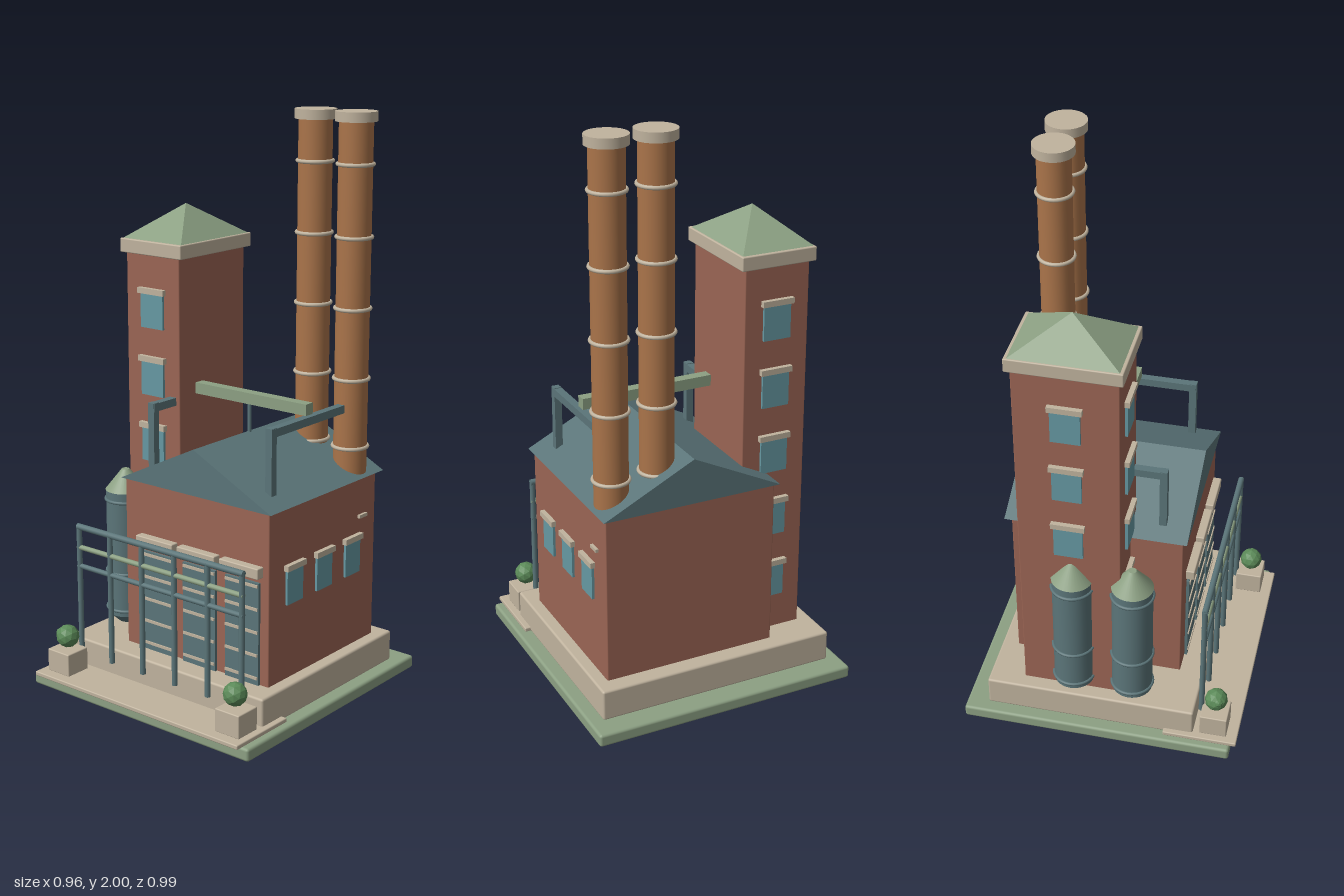
import * as THREE from 'three';
import { RoundedBoxGeometry } from 'three/addons/geometries/RoundedBoxGeometry.js';

export function createModel() {
  const root = new THREE.Group();
  const mat = (name, color) => {
    const m = new THREE.MeshStandardMaterial({ color });
    m.name = name;
    return m;
  };
  const brick = mat('brick', 0x9b6554);
  const stone = mat('stone', 0xc0b39e);
  const green = mat('sage green', 0x8ca083);
  const slate = mat('slate', 0x5b7579);
  const glass = mat('glass', 0x6699a3);
  const copper = mat('copper', 0xaa744a);
  const leaf = mat('leaf', 0x5b8a58);

  const add = (name, geo, material, x = 0, y = 0, z = 0, parent = root) => {
    const m = new THREE.Mesh(geo, material);
    m.name = name;
    m.position.set(x, y, z);
    parent.add(m);
    return m;
  };
  // Box given by its extents; r rounds the edges
  const box = (name, material, x0, x1, y0, y1, z0, z1, r = 0, parent = root) => {
    const s = [x1 - x0, y1 - y0, z1 - z0];
    const geo = r ? new RoundedBoxGeometry(...s, 2, r) : new THREE.BoxGeometry(...s);
    return add(name, geo, material, (x0 + x1) / 2, (y0 + y1) / 2, (z0 + z1) / 2, parent);
  };
  const group = (name, x = 0, y = 0, z = 0, ry = 0) => {
    const g = new THREE.Group();
    g.name = name;
    g.position.set(x, y, z);
    g.rotation.y = ry;
    root.add(g);
    return g;
  };
  const faceted = (geo) => {
    const g = geo.index ? geo.toNonIndexed() : geo;
    g.computeVertexNormals();
    return g;
  };
  const ring = (name, material, r, tube, y, parent) => {
    add(name, new THREE.TorusGeometry(r, tube, 8, 32), material, 0, y, 0, parent).rotation.x = Math.PI / 2;
  };

  // Ground, front apron and plinth
  box('groundSlab', green, -0.482, 0.482, 0, 0.046, -0.495, 0.47, 0.01);
  box('frontApron', stone, -0.456, 0.455, 0.044, 0.06, 0.228, 0.491, 0.004);
  box('plinth', stone, -0.436, 0.434, 0.044, 0.155, -0.416, 0.333, 0.008);

  // Main hall with gable roof
  box('hallWalls', brick, -0.235, 0.39, 0.15, 0.765, -0.357, 0.246, 0.004);
  const gable = new THREE.Shape([[-0.244, 0.76], [0.406, 0.76], [0.081, 0.92]].map((p) => new THREE.Vector2(...p)));
  add('hallRoof', new THREE.ExtrudeGeometry(gable, { depth: 0.641, bevelEnabled: false }), slate, 0, 0, -0.381);

  // Tower with cornice and pyramid roof
  box('towerWalls', brick, -0.384, -0.146, 0.15, 1.505, -0.29, 0.062, 0.004);
  box('towerCornice', stone, -0.401, -0.126, 1.502, 1.551, -0.306, 0.077, 0.004);
  const pyramid = new THREE.ConeGeometry(Math.SQRT1_2, 1, 4);
  pyramid.rotateY(Math.PI / 4);
  pyramid.scale(0.262, 0.112, 0.36);
  add('towerRoof', faceted(pyramid), green, -0.264, 1.607, -0.115);

  // Windows with lintels, facing the direction given by ry
  const windowAt = (x, y, z, ry, w = 0.1) => {
    const g = group('window', x, y, z, ry);
    box('windowPane', glass, -w / 2, w / 2, -0.06, 0.06, -0.01, 0.009, 0, g);
    box('windowLintel', stone, -w / 2 - 0.008, w / 2 + 0.008, 0.06, 0.08, -0.01, 0.017, 0, g);
  };
  [0.345, 0.587, 0.828, 1.068, 1.308].forEach((y) => {
    windowAt(-0.264, y, 0.062, 0);
    windowAt(-0.264, y, -0.29, Math.PI);
    if (y > 0.7) windowAt(-0.384, y, -0.115, -Math.PI / 2);
  });
  [0.114, -0.051, -0.217].forEach((z) => windowAt(0.39, 0.48, z, Math.PI / 2, 0.086));
  box('wallVent', stone, 0.385, 0.4, 0.613, 0.625, -0.298, -0.254);

  // Slatted loading doors
  [-0.084, 0.1, 0.284].forEach((x) => {
    const g = group('loadingDoor', x, 0, 0.246);
    box('doorPanel', slate, -0.071, 0.071, 0.155, 0.515, -0.005, 0.01, 0, g);
    for (let i = 0; i < 5; i++) {
      const y = 0.18 + i * 0.081;
      box('doorSlat', stone, -0.068, 0.068, y - 0.005, y + 0.005, 0, 0.014, 0, g);
    }
    box('doorLintel', stone, -0.082, 0.082, 0.535, 0.573, -0.005, 0.03, 0.004, g);
  });

  // Twin chimneys
  [0.168, 0.333].forEach((x) => {
    const g = group('chimney', x, 0, -0.28);
    add('chimneyShaft', new THREE.CylinderGeometry(0.058, 0.058, 1.21, 32), copper, 0, 1.37, 0, g);
    add('chimneyCap', new THREE.CylinderGeometry(0.071, 0.071, 0.033, 32), stone, 0, 1.9835, 0, g);
    [0.86, 1.1, 1.343, 1.585, 1.827].forEach((y) => ring('chimneyBand', stone, 0.06, 0.007, y, g));
  });

  // Silos with conical roofs and hopper bottoms
  [0.1, -0.11].forEach((z) => {
    const g = group('silo', -0.37, 0, z);
    add('siloBody', new THREE.CylinderGeometry(0.071, 0.071, 0.465, 32), slate, 0, 0.4225, 0, g);
    add('siloHopper', new THREE.CylinderGeometry(0.071, 0.025, 0.04, 32), slate, 0, 0.17, 0, g);
    add('siloRoof', new THREE.CylinderGeometry(0.014, 0.073, 0.075, 32), green, 0, 0.692, 0, g);
    [0.21, 0.35, 0.62].forEach((y) => ring('siloBand', slate, 0.072, 0.006, y, g));
  });

  // Front pipe rack
  const rack = group('pipeRack', 0, 0, 0.35);
  for (let i = 0; i < 6; i++) {
    const x = -0.362 + i * 0.1445;
    add('rackPost', new THREE.CylinderGeometry(0.01, 0.01, 0.475, 12), slate, x, 0.3475, 0, rack);
  }
  [[0.58, slate, 0.011], [0.505, green, 0.009], [0.436, slate, 0.009]].forEach(([y, m, r]) => {
    add('rackPipe', new THREE.CylinderGeometry(r, r, 0.736, 12), m, 0, y, 0, rack).rotation.z = Math.PI / 2;
  });

  // Roof ducts and the bridge beam between tower and duct
  [[-0.176, 0.05], [0.332, -0.24]].forEach(([x, back]) => {
    box('ductRiser', slate, x - 0.013, x + 0.013, 0.77, 1.018, 0.152, 0.178);
    box('ductRun', slate, x - 0.014, x + 0.014, 0.988, 1.016, back, 0.176);
  });
  box('bridgeBeam', green, -0.15, 0.332, 1.018, 1.057, -0.061, -0.023);
  add('beamSupport', new THREE.CylinderGeometry(0.007, 0.007, 0.12, 10), slate, 0.081, 0.965, -0.04);

  // Planters with clipped bushes
  [-1, 1].forEach((s) => {
    const x = s * 0.38;
    box('planter', stone, x - 0.05, x + 0.05, 0.058, 0.14, 0.355, 0.452, 0.004);
    add('bush', faceted(new THREE.IcosahedronGeometry(0.041, 1)), leaf, x - s * 0.003, 0.186, 0.404);
    add('bushTuft', faceted(new THREE.IcosahedronGeometry(0.019, 1)), leaf, x - 0.018, 0.195, 0.414);
  });

  return root;
}
